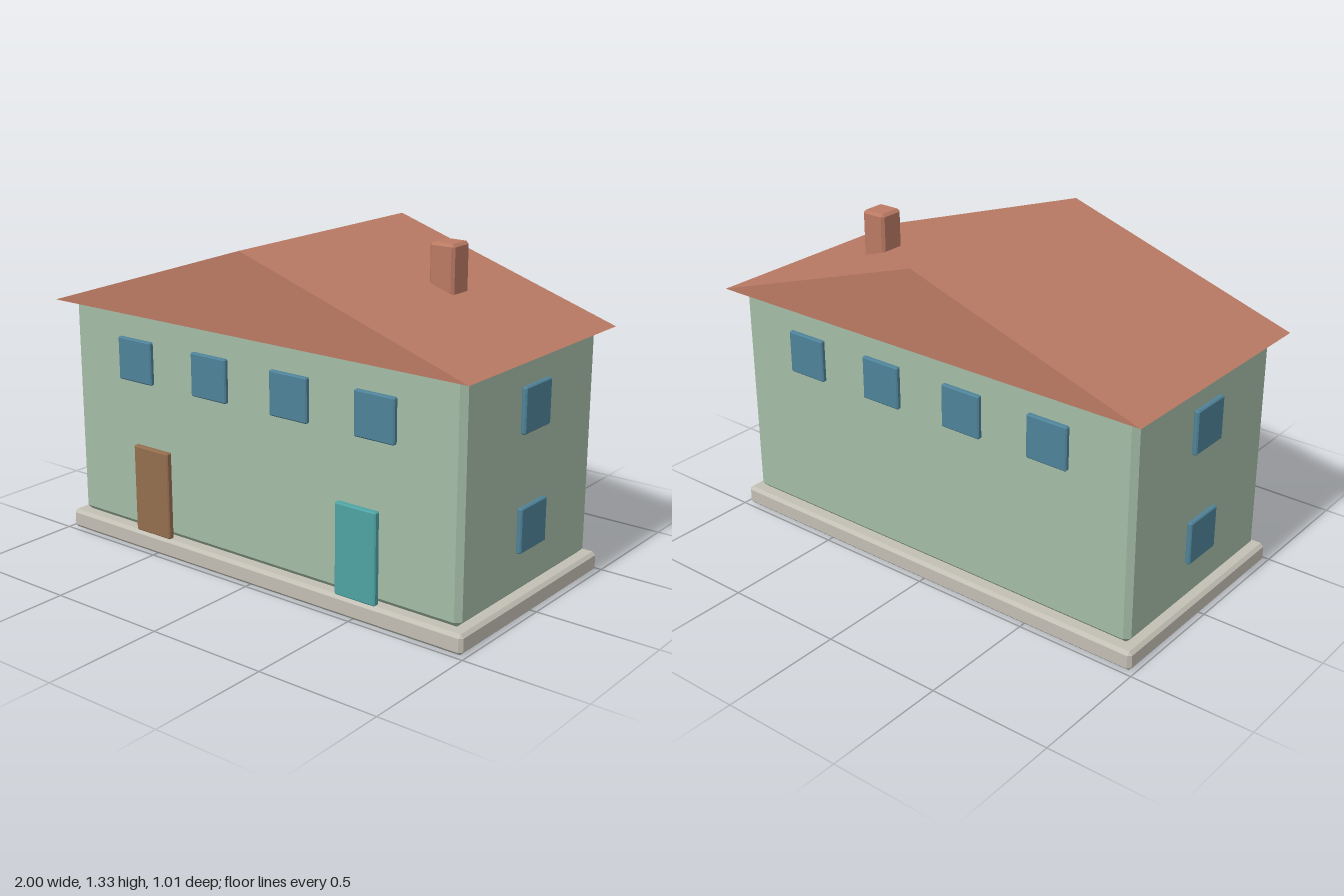
import * as THREE from 'three';
import { ConvexGeometry } from 'three/addons/geometries/ConvexGeometry.js';

const material = (color) => new THREE.MeshStandardMaterial({ color, flatShading: true });

// Box with a flat chamfer c on every edge
function chamferBox(w, h, d, c) {
  const points = [];
  for (const sx of [-1, 1]) for (const sy of [-1, 1]) for (const sz of [-1, 1]) {
    const x = w / 2, y = h / 2, z = d / 2;
    points.push(
      new THREE.Vector3(sx * x, sy * (y - c), sz * (z - c)),
      new THREE.Vector3(sx * (x - c), sy * y, sz * (z - c)),
      new THREE.Vector3(sx * (x - c), sy * (y - c), sz * z)
    );
  }
  return new ConvexGeometry(points);
}

export function createModel() {
  const house = new THREE.Group();
  house.name = 'house';

  const stone = material(0xc2beb4);
  const plaster = material(0xa4bca7);
  const tile = material(0xba7a64);
  const glass = material(0x4f8298);
  const wood = material(0x936e4f);
  const teal = material(0x4fa3a3);

  const add = (name, geometry, mat, x, y, z) => {
    const mesh = new THREE.Mesh(geometry, mat);
    mesh.name = name;
    mesh.position.set(x, y, z);
    house.add(mesh);
    return mesh;
  };

  // Foundation slab and wall block
  add('foundation', chamferBox(1.97, 0.08, 0.97, 0.013), stone, 0, 0.04, 0);
  add('walls', chamferBox(1.9, 0.92, 0.9, 0.022), plaster, 0, 0.54, 0);

  // Gabled roof: triangular prism with its ridge along z
  const gable = new THREE.Shape();
  gable.moveTo(-1, 0);
  gable.lineTo(1, 0);
  gable.lineTo(0, 0.325);
  gable.closePath();
  const roof = new THREE.ExtrudeGeometry(gable, { depth: 1.014, bevelEnabled: false });
  add('roof', roof, tile, 0, 0.995, -0.507);

  // Chimney, partly sunk into the roof
  add('chimney', chamferBox(0.11, 0.245, 0.11, 0.011), tile, 0.51, 1.2035, -0.097);

  // Four upper windows on the front and on the back
  const longWindow = chamferBox(0.178, 0.175, 0.022, 0.005);
  for (const side of [1, -1]) for (const x of [-0.59, -0.197, 0.197, 0.59]) {
    add(side > 0 ? 'frontWindow' : 'backWindow', longWindow, glass, x, 0.798, side * 0.466);
  }

  // Two stacked windows on each end wall
  const endWindow = chamferBox(0.022, 0.177, 0.178, 0.005);
  for (const side of [1, -1]) for (const y of [0.34, 0.798]) {
    add(side > 0 ? 'leftWindow' : 'rightWindow', endWindow, glass, side * 0.963, y, 0);
  }

  // Two front doors
  const door = chamferBox(0.186, 0.365, 0.027, 0.005);
  add('woodenDoor', door, wood, -0.513, 0.263, 0.469);
  add('tealDoor', door, teal, 0.513, 0.263, 0.469);

  return house;
}
